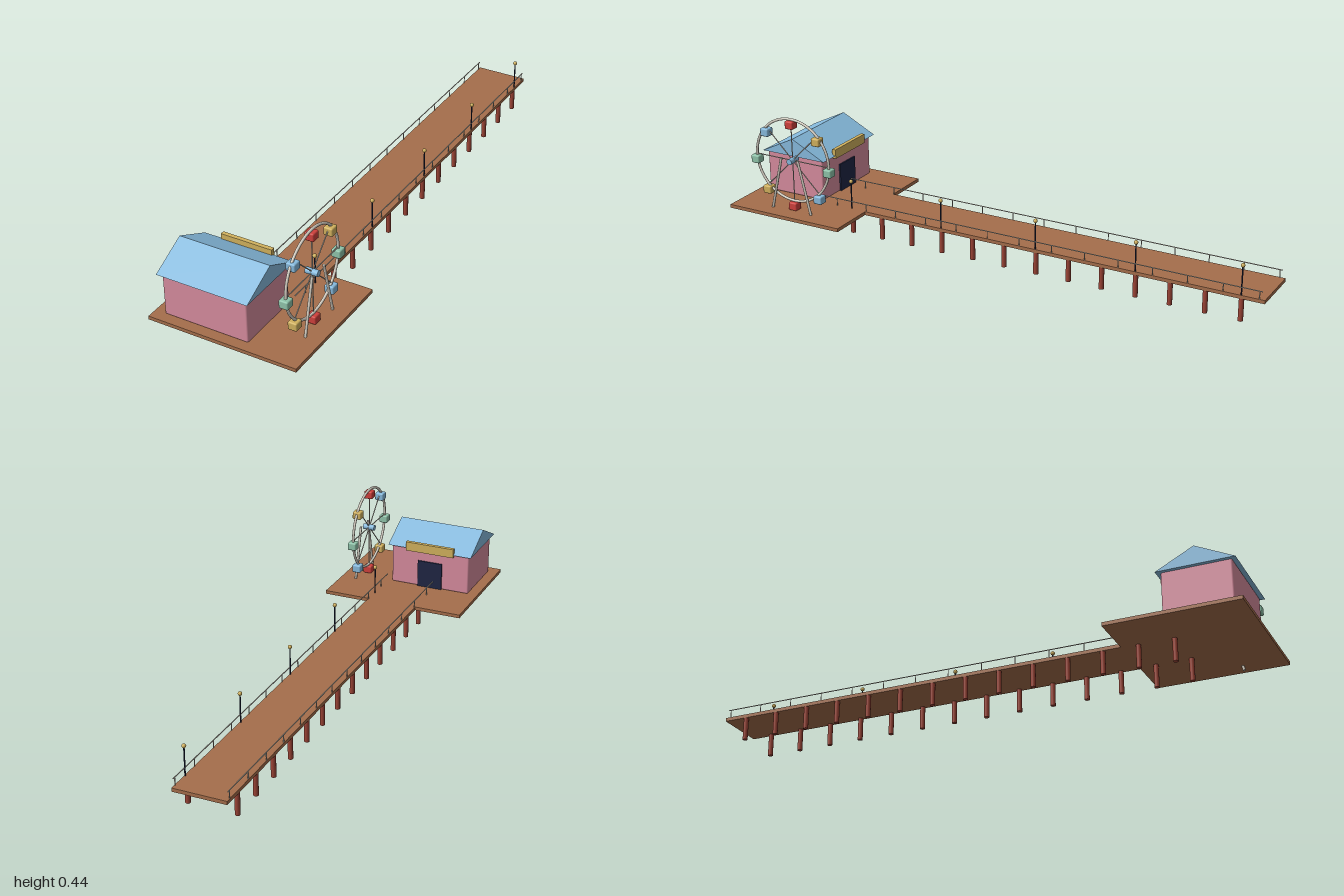
import * as THREE from 'three';
import { RoundedBoxGeometry } from 'three/addons/geometries/RoundedBoxGeometry.js';

const mat = (name, color) => {
  const m = new THREE.MeshStandardMaterial({ color });
  m.name = name;
  return m;
};

export function createModel() {
  const wood = mat('deckWood', 0xa56e4b);
  const pile = mat('pileRedBrown', 0x9c4436);
  const pink = mat('wallPink', 0xd78c9e);
  const blue = mat('paintBlue', 0x87bbde);
  const red = mat('paintRed', 0xcf403c);
  const gold = mat('paintGold', 0xd2b25e);
  const green = mat('paintGreen', 0x8fc4aa);
  const navy = mat('darkNavy', 0x1f2644);
  const metal = mat('paleMetal', 0xd6d0c4);

  const model = new THREE.Group();
  model.name = 'pier';

  const add = (parent, name, geometry, material, x, y, z) => {
    const mesh = new THREE.Mesh(geometry, material);
    mesh.name = name;
    mesh.position.set(x, y, z);
    parent.add(mesh);
    return mesh;
  };
  const group = (name) => {
    const g = new THREE.Group();
    g.name = name;
    model.add(g);
    return g;
  };
  // Round bar between two points
  const bar = (parent, name, a, b, r, material, sides = 8) => {
    const from = new THREE.Vector3(...a), to = new THREE.Vector3(...b);
    const dir = to.clone().sub(from);
    const mid = from.clone().add(to).multiplyScalar(0.5);
    const mesh = add(parent, name, new THREE.CylinderGeometry(r, r, dir.length(), sides), material, mid.x, mid.y, mid.z);
    mesh.quaternion.setFromUnitVectors(new THREE.Vector3(0, 1, 0), dir.normalize());
    return mesh;
  };

  // Walkway and end platform
  const deckTop = 0.095, deckH = 0.013;
  add(model, 'walkway', new THREE.BoxGeometry(0.192, deckH, 1.53), wood, 0, deckTop - deckH / 2, -0.235);
  add(model, 'platform', new THREE.BoxGeometry(0.547, deckH, 0.47), wood, 0, deckTop - deckH / 2, 0.765);

  // Piles and railings on both sides
  const step = 0.1255;
  const piles = group('piles'), railings = group('railings');
  for (const side of [-1, 1]) {
    for (let i = 0; i < 14; i++) {
      const z = 0.714 - i * step;
      bar(piles, 'pile', [side * 0.087, 0, z], [side * 0.087, 0.083, z], 0.009, pile, 12);
      const rz = z - 0.063;
      bar(railings, 'railPost', [side * 0.094, deckTop, rz], [side * 0.094, 0.123, rz], 0.0018, metal, 6);
    }
    bar(railings, 'handrail', [side * 0.094, 0.123, -0.99], [side * 0.094, 0.123, 0.715], 0.0019, metal, 6);
  }

  // Lamps along the left side
  const lamps = group('lamps');
  for (let i = 0; i < 5; i++) {
    const z = 0.588 - i * step * 3;
    bar(lamps, 'lampPost', [0.093, deckTop, z], [0.093, 0.198, z], 0.0025, navy);
    add(lamps, 'lampGlobe', new THREE.SphereGeometry(0.0075, 14, 10), gold, 0.093, 0.201, z);
  }

  // Pavilion with its door facing the walkway
  const house = group('pavilion');
  const hx = -0.079, hz = 0.843;
  add(house, 'walls', new RoundedBoxGeometry(0.313, 0.157, 0.24, 2, 0.006), pink, hx, 0.1725, hz);
  const gable = new THREE.Shape([
    new THREE.Vector2(-0.135, 0), new THREE.Vector2(0.135, 0), new THREE.Vector2(0, 0.067),
  ]);
  const roofGeo = new THREE.ExtrudeGeometry(gable, { depth: 0.337, bevelEnabled: false });
  roofGeo.translate(0, 0, -0.1685);
  add(house, 'roof', roofGeo, blue, hx, 0.25, hz).rotation.y = Math.PI / 2;
  add(house, 'door', new THREE.BoxGeometry(0.098, 0.105, 0.008), navy, hx, 0.1475, 0.7215);
  add(house, 'signBoard', new THREE.BoxGeometry(0.192, 0.035, 0.015), gold, hx - 0.002, 0.258, 0.712);

  // Big wheel
  const wheel = group('bigWheel');
  const wx = 0.195, wy = 0.284, wz = 0.767, R = 0.156;
  add(wheel, 'rim', new THREE.TorusGeometry(R, 0.005, 10, 56), metal, wx, wy, wz).rotation.y = Math.PI / 2;
  bar(wheel, 'hub', [0.172, wy, wz], [0.218, wy, wz], 0.011, blue, 16);
  const cabinColors = [red, gold, green, blue];
  const cabinGeo = new RoundedBoxGeometry(0.034, 0.03, 0.034, 2, 0.005);
  for (let i = 0; i < 8; i++) {
    const a = (i * Math.PI) / 4;
    const y = wy + R * Math.cos(a), z = wz - R * Math.sin(a);
    bar(wheel, 'spoke', [wx, wy, wz], [wx, y, z], 0.002, metal, 6);
    add(wheel, 'cabin', cabinGeo, cabinColors[i % 4], wx, y - 0.019, z);
  }
  // Slanted support legs
  for (const s of [-1, 1]) {
    bar(wheel, 'supportLeg', [0.215, 0.295, wz + s * 0.035], [0.215, 0.065, wz + s * 0.09], 0.0048, metal, 10);
  }

  return model;
}
